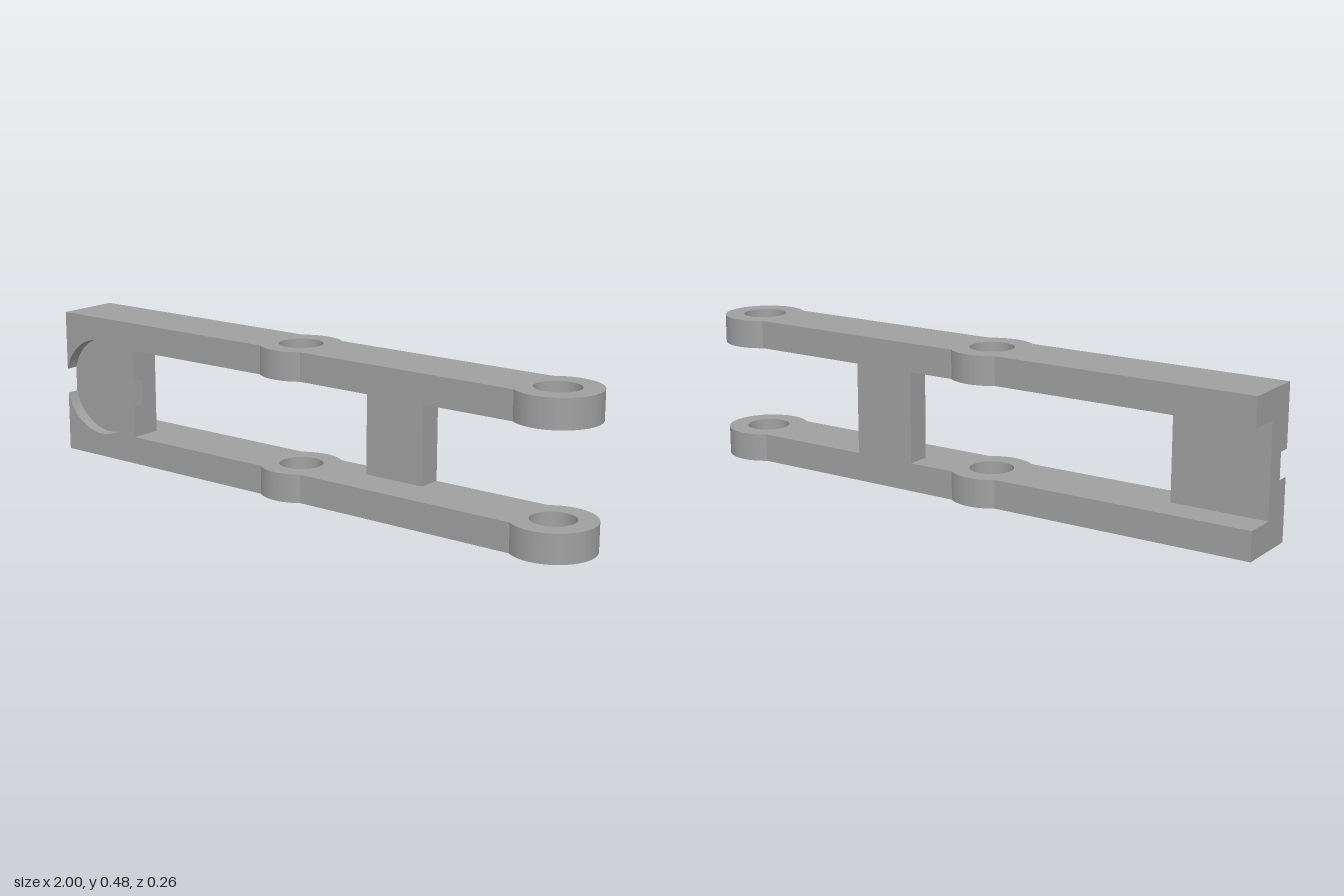
import * as THREE from 'three';
import { toCreasedNormals } from 'three/addons/utils/BufferGeometryUtils.js';

const H = 0.48, ARM = 0.092;              // overall height, arm thickness
const W = 0.105, FLOOR = 0.065;           // arm half width, recess floor z
const LEFT = -1, PAD = -0.687;            // end pad extent in x
const RING = 0.132, HOLE = 0.07;
const EYES = [-0.055, 0.868];             // eye centres along the arm
const RECESS = 0.162;

function extrude(shape, depth) {
  const g = new THREE.ExtrudeGeometry(shape, { depth, bevelEnabled: false, curveSegments: 40 });
  return toCreasedNormals(g, 0.4);
}

// Arm outline with a swollen eye in the middle and at the tip
function armGeometry() {
  const a = Math.asin(W / RING), s = new THREE.Shape();
  s.moveTo(LEFT, -FLOOR);
  s.lineTo(PAD, -FLOOR);
  s.lineTo(PAD, -W);
  s.absarc(EYES[0], 0, RING, Math.PI + a, 2 * Math.PI - a, false);
  s.absarc(EYES[1], 0, RING, a - Math.PI, Math.PI - a, false);
  s.absarc(EYES[0], 0, RING, a, Math.PI - a, false);
  s.lineTo(LEFT, W);
  s.closePath();
  for (const x of EYES) s.holes.push(new THREE.Path().absarc(x, 0, HOLE, 0, Math.PI * 2, true));
  return extrude(s, ARM).rotateX(-Math.PI / 2);
}

// Half of the pad's front layer, centred on the round recess
function padLipGeometry() {
  const half = (PAD - LEFT) / 2, b = Math.acos(half / RECESS);
  const s = new THREE.Shape();
  s.moveTo(half, H / 2);
  s.lineTo(-half, H / 2);
  s.absarc(0, 0, RECESS, Math.PI - b, b, true);
  s.closePath();
  return extrude(s, W - FLOOR);
}

export function createModel() {
  const model = new THREE.Group();
  model.name = 'doubleArmLink';
  const grey = new THREE.MeshStandardMaterial({ color: 0xa0a0a0 });
  grey.name = 'grey';
  const add = (name, geometry, x, y, z) => {
    const m = new THREE.Mesh(geometry, grey);
    m.name = name;
    m.position.set(x, y, z);
    model.add(m);
    return m;
  };

  // Two parallel arms
  const arm = armGeometry();
  add('lowerArm', arm, 0, 0, 0);
  add('upperArm', arm, 0, H - ARM, 0);

  // End pad: recess floor plus the lips above and below the round recess
  const cx = (LEFT + PAD) / 2, gap = H - 2 * ARM;
  add('padBlock', new THREE.BoxGeometry(PAD - LEFT, gap, FLOOR), cx, H / 2, FLOOR / 2);
  const lip = padLipGeometry();
  add('upperPadLip', lip, cx, H / 2, FLOOR);
  add('lowerPadLip', lip, cx, H / 2, FLOOR).rotation.z = Math.PI;

  // Rear post tying the arms together
  add('crossPost', new THREE.BoxGeometry(0.21, gap, 0.078), 0.287, H / 2, -0.066);
  return model;
}
